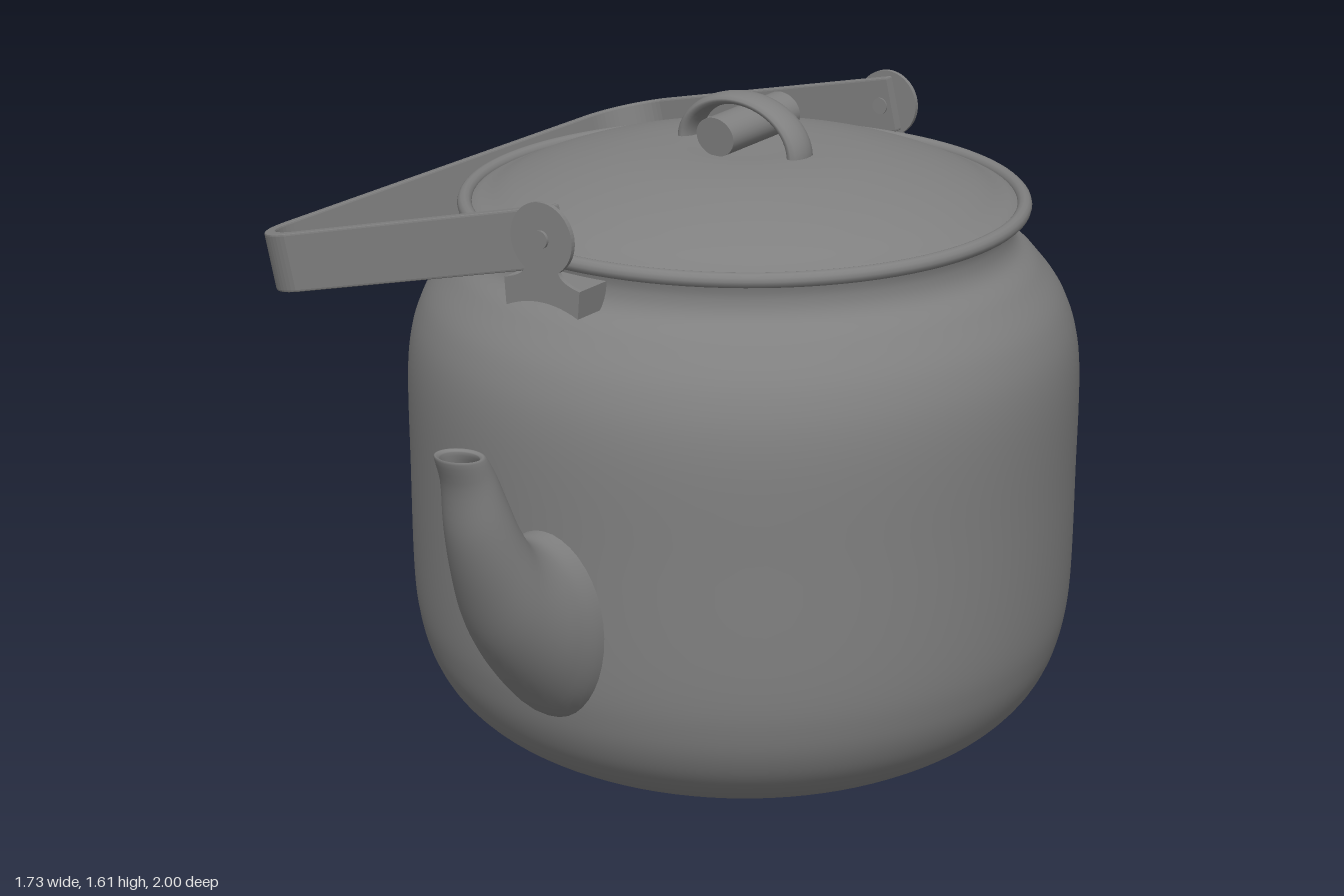
import * as THREE from 'three';

const CX = 0.055, CZ = -0.185; // axis of the round body
const material = new THREE.MeshStandardMaterial({ color: 0x808080, side: THREE.DoubleSide });

function add(parent, name, geometry, x = 0, y = 0, z = 0) {
  const mesh = new THREE.Mesh(geometry, material);
  mesh.name = name;
  mesh.position.set(x, y, z);
  parent.add(mesh);
  return mesh;
}

// Smooth profile through [radius, height] points, turned around the y axis
function turned(points, steps) {
  const curve = new THREE.SplineCurve(points.map(p => new THREE.Vector2(...p)));
  return new THREE.LatheGeometry(curve.getPoints(steps), 96);
}

// Skin over elliptical rings: each ring is [zUp, yUp, zLow, yLow, halfWidth, x]
function spoutGeometry(rings, sides = 40) {
  const at = [
    r => new THREE.Vector3(r[5], r[1], r[0]),
    r => new THREE.Vector3(r[5], r[3], r[2]),
    r => new THREE.Vector3(r[4], 0, 0),
  ].map(pick => new THREE.CatmullRomCurve3(rings.map(pick)));
  const positions = [], index = [], steps = 50;
  for (let i = 0; i <= steps; i++) {
    const [up, low, w] = at.map(c => c.getPoint(i / steps));
    const mid = up.clone().add(low).multiplyScalar(0.5);
    const half = up.clone().sub(low).multiplyScalar(0.5);
    for (let j = 0; j < sides; j++) {
      const a = j / sides * Math.PI * 2, c = Math.cos(a);
      positions.push(mid.x + w.x * Math.sin(a), mid.y + half.y * c, mid.z + half.z * c);
      if (i < steps) {
        const k = i * sides + j, n = i * sides + (j + 1) % sides;
        index.push(k, k + sides, n, n, k + sides, n + sides);
      }
    }
  }
  const g = new THREE.BufferGeometry();
  g.setAttribute('position', new THREE.Float32BufferAttribute(positions, 3));
  g.setIndex(index);
  g.computeVertexNormals();
  return g;
}

// Flared foot of a handle bracket, with an optional disc-shaped head
function bracketShape(withHead) {
  const s = new THREE.Shape();
  s.moveTo(-0.1, -0.17);
  s.quadraticCurveTo(0, -0.125, 0.1, -0.17);
  s.lineTo(0.105, -0.105);
  if (withHead) {
    s.quadraticCurveTo(0.055, -0.095, 0.046, -0.071);
    s.absarc(0, 0, 0.085, -1, Math.PI + 1, false);
    s.quadraticCurveTo(-0.055, -0.095, -0.105, -0.105);
  } else s.lineTo(-0.105, -0.105);
  s.closePath();
  return s;
}

// U-shaped strap seen from above; the inner outline is the outer one moved in
function strapShape() {
  const s = new THREE.Shape();
  const t = 0.022, end = -0.876;
  s.moveTo(0.03, 0.722);
  s.lineTo(-0.73, 0.778);
  s.bezierCurveTo(-0.81, 0.775, end, 0.71, end, 0.61);
  s.lineTo(end, -0.61);
  s.bezierCurveTo(end, -0.71, -0.81, -0.775, -0.73, -0.778);
  s.lineTo(0.03, -0.722);
  s.lineTo(0.03, -0.722 + t);
  s.lineTo(-0.73, -0.778 + t);
  s.bezierCurveTo(-0.8, -0.753, end + t, -0.7, end + t, -0.61);
  s.lineTo(end + t, 0.61);
  s.bezierCurveTo(end + t, 0.7, -0.8, 0.753, -0.73, 0.778 - t);
  s.lineTo(0.03, 0.722 - t);
  s.closePath();
  return s;
}

export function createModel() {
  const model = new THREE.Group();
  model.name = 'kettle';

  // Round body with a narrow neck
  add(model, 'body', turned([[0, 0], [0.2, 0.002], [0.4, 0.008], [0.545, 0.031], [0.64, 0.075],
    [0.71, 0.131], [0.76, 0.2], [0.793, 0.29], [0.81, 0.42], [0.813, 0.7], [0.811, 0.97], [0.777, 1.11],
    [0.71, 1.205], [0.657, 1.255], [0.642, 1.3], [0.65, 1.345]], 96), CX, 0, CZ);

  // Rolled rim and domed lid
  const rim = add(model, 'rim', new THREE.TorusGeometry(0.668, 0.018, 12, 96), CX, 1.351, CZ);
  rim.rotation.x = Math.PI / 2;
  add(model, 'lid', turned([[0.655, 1.352], [0.64, 1.36], [0.61, 1.372], [0.55, 1.4], [0.45, 1.435],
    [0.32, 1.466], [0.2, 1.48], [0.1, 1.481], [0, 1.481]], 48), CX, 0, CZ);

  // Lid knob: a roller held under an arched strap
  const knob = new THREE.Group();
  knob.name = 'lidKnob';
  knob.position.set(CX, 1.475, CZ);
  knob.rotation.y = -0.1;
  model.add(knob);
  const arch = add(knob, 'knobArch', new THREE.TorusGeometry(0.168, 0.021, 14, 40, Math.PI));
  arch.scale.set(1, 0.71, 2);
  const roller = add(knob, 'knobRoller', new THREE.CylinderGeometry(0.047, 0.047, 0.25, 32), 0.012, 0.059, 0);
  roller.rotation.x = Math.PI / 2 + 0.06;
  roller.scale.x = 1.2;

  // Curved spout, with its lip folded back inside
  add(model, 'spout', spoutGeometry([
    [0.5, 0.76, 0.52, 0.27, 0.157, 0.055],
    [0.63, 0.755, 0.62, 0.295, 0.155, 0.055],
    [0.7, 0.762, 0.72, 0.385, 0.143, 0.057],
    [0.76, 0.8, 0.83, 0.53, 0.12, 0.06],
    [0.805, 0.865, 0.9, 0.68, 0.099, 0.064],
    [0.84, 0.94, 0.95, 0.83, 0.08, 0.068],
    [0.87, 1.0, 0.973, 0.965, 0.065, 0.069],
    [0.897, 1.035, 1.0, 1.04, 0.057, 0.069],
    [0.908, 1.03, 0.985, 1.03, 0.046, 0.069],
    [0.88, 0.97, 0.955, 0.94, 0.044, 0.069],
    [0.85, 0.9, 0.92, 0.83, 0.044, 0.067]]));

  // Swinging handle, resting to the right
  const handle = new THREE.Group();
  handle.name = 'handle';
  handle.position.set(0.005, 1.42, CZ);
  handle.rotation.z = 0.235;
  model.add(handle);
  const strap = new THREE.ExtrudeGeometry(strapShape(), { depth: 0.13, curveSegments: 16,
    bevelThickness: 0.005, bevelSize: 0.003, bevelSegments: 2 });
  strap.rotateX(Math.PI / 2).translate(0, 0.065, 0);
  add(handle, 'handleStrap', strap);

  // Brackets, front and back
  for (const [name, turn] of [['frontBracket', 0], ['backBracket', Math.PI]]) {
    const bracket = new THREE.Group();
    bracket.name = name;
    bracket.position.set(0.005, 1.42, CZ);
    bracket.rotation.y = turn;
    model.add(bracket);
    add(bracket, 'bracketPlate', new THREE.ExtrudeGeometry(bracketShape(true),
      { depth: 0.012, bevelEnabled: false, curveSegments: 24 }), 0, 0, 0.731);
    add(bracket, 'bracketFoot', new THREE.ExtrudeGeometry(bracketShape(false),
      { depth: 0.11, bevelEnabled: false }), 0, 0, 0.625);
    add(bracket, 'rivet', new THREE.CylinderGeometry(0.021, 0.021, 0.056, 24), 0, 0, 0.722).rotation.x = Math.PI / 2;
  }
  return model;
}
